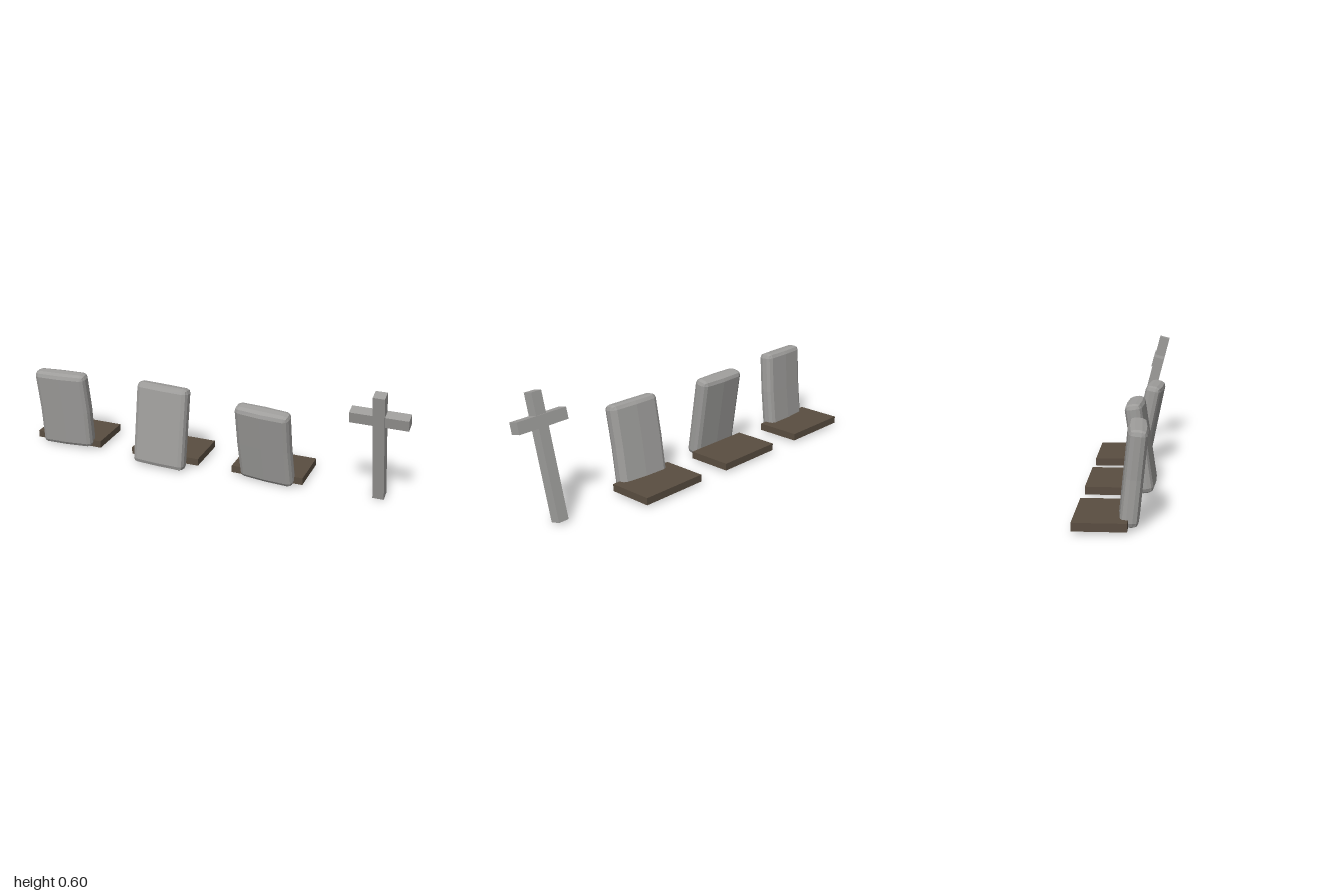
import * as THREE from 'three';

const stoneMat = new THREE.MeshStandardMaterial({ color: 0x9e9d9b, flatShading: true });
const soilMat = new THREE.MeshStandardMaterial({ color: 0x5a4e41 });

function box(name, w, h, d, mat, x, y, z) {
  const mesh = new THREE.Mesh(new THREE.BoxGeometry(w, h, d), mat);
  mesh.name = name;
  mesh.position.set(x, y, z);
  return mesh;
}

// Worn slab: a box with rounded edges, convex faces and a slight sideways skew and bow
function headstoneGeometry(w, h, d, skew, bow) {
  const r = 0.024;
  const half = new THREE.Vector3(w / 2, h / 2, d / 2);
  const core = half.clone().subScalar(r);
  const geo = new THREE.BoxGeometry(2, 2, 2, 4, 4, 4);
  const pos = geo.attributes.position;
  const p = new THREE.Vector3(), inner = new THREE.Vector3();
  for (let i = 0; i < pos.count; i++) {
    p.fromBufferAttribute(pos, i);
    for (const a of ['x', 'y', 'z']) {
      const u = p[a], s = Math.sign(u);
      p[a] = Math.abs(u) > 0.75 ? s * half[a] : Math.abs(u) > 0.25 ? s * core[a] : 0;
    }
    inner.copy(p).clamp(core.clone().negate(), core);
    p.sub(inner).setLength(r).add(inner);
    const u = p.x / half.x, v = p.y / half.y;
    p.z *= 1 + 0.2 * (1 - u * u);
    p.x += skew * v + bow * (1 - v * v);
    pos.setXYZ(i, p.x, p.y, p.z);
  }
  geo.computeVertexNormals();
  return geo;
}

export function createModel() {
  const model = new THREE.Group();

  // Three graves: a flat plot with a leaning headstone at its front edge
  const graves = [
    { plot: -0.814, x: -0.815, y: 0.222, z: 0.071, h: 0.42, lean: 0.1, yaw: 0.05, roll: 0.015, skew: 0, bow: 0.006 },
    { plot: -0.256, x: -0.258, y: 0.216, z: 0.074, h: 0.428, lean: -0.15, yaw: -0.03, roll: -0.02, skew: -0.002, bow: 0 },
    { plot: 0.301, x: 0.301, y: 0.213, z: 0.085, h: 0.416, lean: 0.2, yaw: -0.08, roll: -0.005, skew: -0.006, bow: -0.004 },
  ];
  for (const g of graves) {
    const grave = new THREE.Group();
    grave.name = 'grave';
    grave.add(box('plot', 0.372, 0.037, 0.233, soilMat, g.plot, 0.031, -0.0625));
    const stone = new THREE.Mesh(headstoneGeometry(0.28, g.h, 0.075, g.skew, g.bow), stoneMat);
    stone.name = 'headstone';
    stone.position.set(g.x, g.y, g.z);
    stone.rotation.set(g.lean, g.yaw, g.roll);
    grave.add(stone);
    model.add(grave);
  }

  // Leaning cross
  const cross = new THREE.Group();
  cross.name = 'cross';
  cross.add(box('crossPost', 0.056, 0.605, 0.055, stoneMat, 0, 0, 0));
  cross.add(box('crossBar', 0.278, 0.057, 0.056, stoneMat, 0, 0.167, -0.005));
  cross.position.set(0.861, 0.3, 0.078);
  cross.rotation.x = 0.25;
  model.add(cross);

  return model;
}
